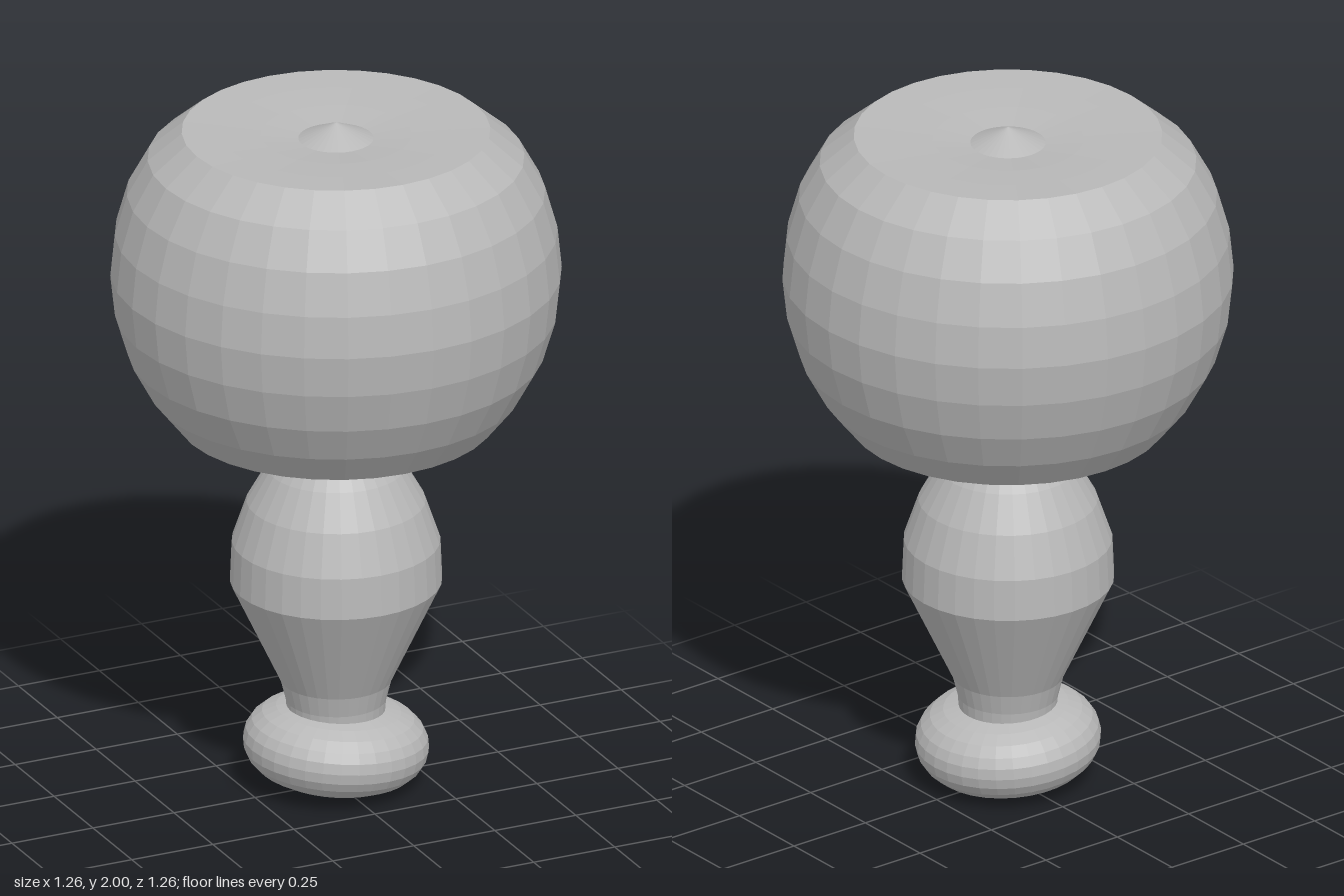
import * as THREE from 'three';

const grey = new THREE.MeshStandardMaterial({ color: 0xb8b8b8, side: THREE.DoubleSide });
grey.name = 'plain grey';

// Turned part from [radius, height] pairs listed bottom to top, with flat facets
function turned(name, profile, segments = 32) {
  const points = profile.map(([r, y]) => new THREE.Vector2(r, y));
  const geometry = new THREE.LatheGeometry(points, segments).toNonIndexed();
  geometry.computeVertexNormals();
  const mesh = new THREE.Mesh(geometry, grey);
  mesh.name = name;
  return mesh;
}

export function createModel() {
  const lamp = new THREE.Group();
  lamp.name = 'tableLamp';

  // Flattened, slightly tilted foot
  const half = [[0.26, 0], [0.255, 0.03], [0.24, 0.057], [0.213, 0.082],
    [0.175, 0.1], [0.125, 0.112], [0.065, 0.118], [0, 0.12]];
  const lower = half.slice(1).reverse().map(([r, y]) => [r, -y]);
  const foot = turned('foot', [...lower, ...half]);
  foot.position.y = 0.127;
  foot.rotation.z = -0.08;
  lamp.add(foot);

  // Vase-shaped body with a small domed top inside the shade
  lamp.add(turned('body', [
    [0, 0.22], [0.137, 0.22], [0.14, 0.26], [0.155, 0.32], [0.296, 0.62],
    [0.291, 0.74], [0.25, 0.86], [0.193, 0.96], [0.132, 1.04], [0.122, 1.07],
    [0.108, 1.11], [0.085, 1.15], [0.05, 1.18], [0, 1.19],
  ]));

  // Faceted globe shade, open at the bottom
  lamp.add(turned('shade', [
    [0.445, 1.107], [0.52, 1.2], [0.58, 1.31], [0.616, 1.43], [0.629, 1.55],
    [0.617, 1.67], [0.583, 1.79], [0.525, 1.895], [0.43, 1.975],
  ]));

  // Shallow dished lid with a small central point
  lamp.add(turned('shadeLid', [
    [0.43, 1.975], [0.32, 1.97], [0.21, 1.963], [0.105, 1.952], [0, 2],
  ]));

  return lamp;
}
